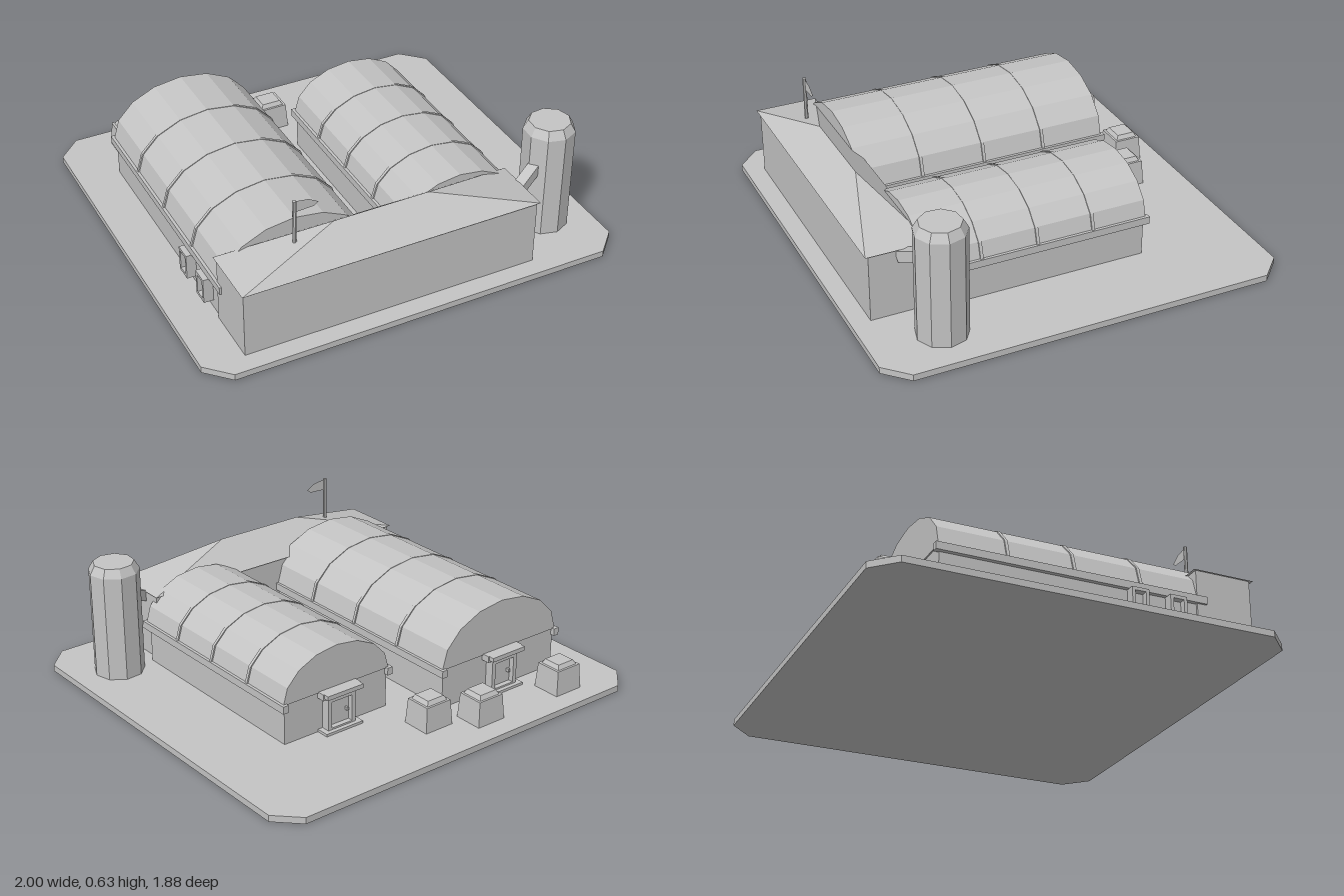
import * as THREE from 'three';

const grey = new THREE.MeshStandardMaterial({ color: 0xc4c4c4, flatShading: true, side: THREE.DoubleSide });
grey.name = 'plain grey';

function add(parent, name, geometry, x = 0, y = 0, z = 0) {
  const mesh = new THREE.Mesh(geometry, grey);
  mesh.name = name;
  mesh.position.set(x, y, z);
  parent.add(mesh);
  return mesh;
}

// Box given by its lower and upper limits on each axis
function block(parent, name, x0, x1, y0, y1, z0, z1) {
  return add(parent, name, new THREE.BoxGeometry(x1 - x0, y1 - y0, z1 - z0),
    (x0 + x1) / 2, (y0 + y1) / 2, (z0 + z1) / 2);
}

function outline(points) {
  return new THREE.Shape(points.map(([x, y]) => new THREE.Vector2(x, y)));
}

function extrude(points, depth) {
  return new THREE.ExtrudeGeometry(outline(points), { depth, bevelEnabled: false });
}

// Half ellipse in eight facets
function archPoints(rx, ry) {
  return Array.from({ length: 9 }, (_, i) => {
    const a = (i / 8) * Math.PI;
    return [rx * Math.cos(a), ry * Math.sin(a)];
  });
}

// Square block that narrows towards the top
function tapered(bottom, top, height) {
  const g = new THREE.CylinderGeometry(top * Math.SQRT1_2, bottom * Math.SQRT1_2, height, 4);
  return g.rotateY(Math.PI / 4).translate(0, height / 2, 0);
}

// Rectangular ring in the xy plane, open in the middle
function frame(w, h, border, depth) {
  const rect = (a, b) => [[-a, -b], [a, -b], [a, b], [-a, b]];
  const shape = outline(rect(w / 2, h / 2));
  shape.holes.push(outline(rect(w / 2 - border, h / 2 - border)));
  return new THREE.ExtrudeGeometry(shape, { depth, bevelEnabled: false });
}

// Door with frame, canopy and step on a rear wall
function door(parent, x, z) {
  const group = new THREE.Group();
  group.name = 'rearDoor';
  group.position.set(x, 0.03, z);
  parent.add(group);
  add(group, 'doorFrame', frame(0.15, 0.165, 0.02, 0.043), 0, 0.0825, -0.035);
  block(group, 'doorPanel', -0.055, 0.055, 0.02, 0.145, -0.01, 0.008);
  block(group, 'doorHandle', -0.045, -0.035, 0.07, 0.085, -0.025, -0.01);
  block(group, 'canopyLintel', -0.102, 0.102, 0.165, 0.195, -0.035, 0.008);
  block(group, 'canopyEdge', -0.097, 0.097, 0.175, 0.195, -0.06, -0.035);
  block(group, 'doorStep', -0.1, 0.1, 0, 0.012, -0.055, 0.008);
}

// Long barrel-roofed shed
function shed(parent, { x, rx, rise, back, ribs }) {
  const group = new THREE.Group();
  group.name = 'shed';
  parent.add(group);
  const front = 0.615;
  block(group, 'shedWalls', x - rx + 0.008, x + rx - 0.008, 0.03, 0.22, back + 0.006, front - 0.02);
  add(group, 'barrelRoof', extrude(archPoints(rx, rise), front - back), x, 0.22, back);
  // Thin hoops over the roof
  const hoop = [...archPoints(rx + 0.007, rise + 0.002), ...archPoints(rx - 0.004, rise - 0.004).reverse()];
  for (const z of ribs) add(group, 'roofRib', extrude(hoop, 0.014), x, 0.22, z - 0.007);
  for (const s of [-1, 1]) {
    const cx = x + s * (rx - 0.002);
    block(group, 'gutter', cx - 0.014, cx + 0.014, 0.19, 0.225, back - 0.015, front + 0.015);
  }
  door(group, x, back);
}

// Hipped roof from four eave corners and two ridge ends
function hipRoof() {
  const p = [[-0.82, 0.348, 0.867], [0.588, 0.348, 0.867], [0.588, 0.348, 0.573], [-0.82, 0.348, 0.573],
    [-0.335, 0.47, 0.72], [0.112, 0.47, 0.72]];
  const g = new THREE.BufferGeometry();
  g.setAttribute('position', new THREE.Float32BufferAttribute(p.flat(), 3));
  g.setIndex([0, 1, 5, 0, 5, 4, 1, 2, 5, 2, 3, 4, 2, 4, 5, 3, 0, 4, 0, 3, 2, 0, 2, 1]);
  const flat = g.toNonIndexed();
  flat.computeVertexNormals();
  return flat;
}

export function createModel() {
  const model = new THREE.Group();
  model.name = 'farmBuildings';

  // Ground slab with cut corners
  const c = 0.105, w = 1, d = 0.94;
  const slab = extrude([[-w + c, -d], [w - c, -d], [w, -d + c], [w, d - c], [w - c, d], [-w + c, d], [-w, d - c], [-w, -d + c]], 0.03);
  add(model, 'groundSlab', slab.rotateX(-Math.PI / 2));

  // Front hall
  block(model, 'hallWalls', -0.81, 0.58, 0.03, 0.348, 0.585, 0.852);
  add(model, 'hallRoof', hipRoof());

  // Two sheds behind the hall
  shed(model, { x: -0.463, rx: 0.345, rise: 0.24, back: -0.607, ribs: [-0.3, 0.003, 0.313] });
  shed(model, { x: 0.332, rx: 0.288, rise: 0.2, back: -0.433, ribs: [-0.173, 0.093, 0.358] });

  // Side windows on the larger shed
  for (const z of [0.292, 0.474]) {
    add(model, 'windowFrame', frame(0.08, 0.12, 0.015, 0.045), -0.8, 0.13, z).rotation.y = -Math.PI / 2;
    block(model, 'windowPane', -0.815, -0.8, 0.08, 0.18, z - 0.03, z + 0.03);
  }

  // Nine-sided silo with sloping shoulder
  const turn = THREE.MathUtils.degToRad(5);
  add(model, 'siloBody', new THREE.CylinderGeometry(0.117, 0.117, 0.5, 9, 1, false, turn), 0.78, 0.28, 0.613);
  add(model, 'siloCap', new THREE.CylinderGeometry(0.094, 0.117, 0.04, 9, 1, false, turn), 0.78, 0.55, 0.613);

  // Chute from silo to hall
  const from = new THREE.Vector3(0.57, 0.313, 0.705), to = new THREE.Vector3(0.71, 0.378, 0.645);
  const chute = add(model, 'chute', new THREE.BoxGeometry(0.05, 0.05, from.distanceTo(to)));
  chute.position.copy(from).lerp(to, 0.5);
  chute.lookAt(to);

  // Flag on the hall roof
  add(model, 'flagPole', new THREE.CylinderGeometry(0.009, 0.009, 0.24, 8), -0.515, 0.51, 0.72);
  add(model, 'flag', new THREE.ShapeGeometry(outline([[0, 0], [0.085, 0.004], [0.105, 0.02], [0.06, 0.046], [0, 0.054]])),
    -0.51, 0.573, 0.72);

  // Crates on the rear yard
  for (const [x, z] of [[-0.673, -0.774], [-0.203, -0.768], [0.008, -0.665]]) {
    const crate = new THREE.Group();
    crate.name = 'crate';
    crate.position.set(x, 0.03, z);
    crate.scale.z = 0.93;
    model.add(crate);
    add(crate, 'crateBody', tapered(0.15, 0.134, 0.118));
    add(crate, 'crateLid', tapered(0.112, 0.09, 0.02), 0, 0.118, 0);
  }
  return model;
}
